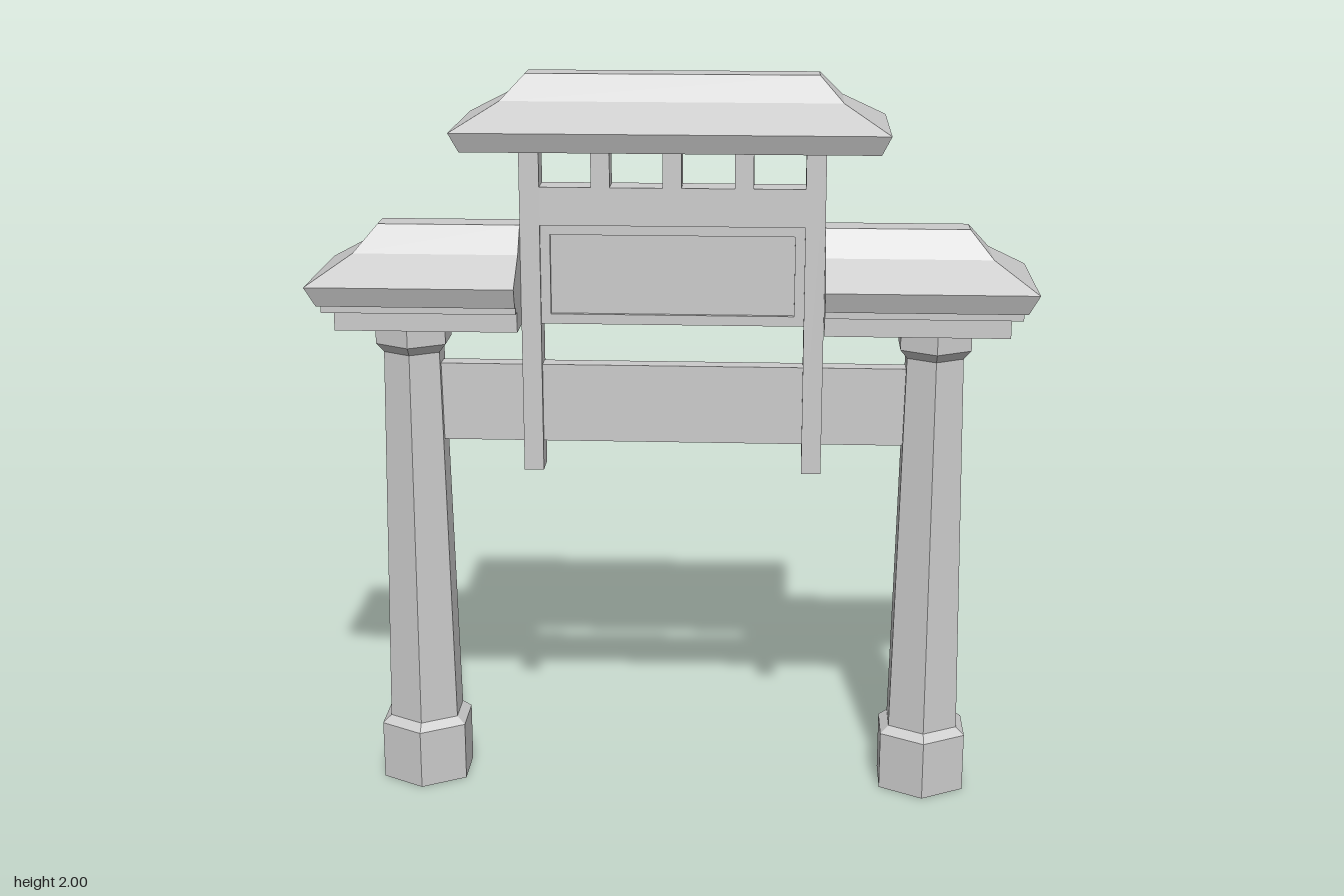
import * as THREE from 'three';

const material = new THREE.MeshStandardMaterial({ color: 0xcccccc, flatShading: true });

function add(parent, name, geometry) {
  const mesh = new THREE.Mesh(geometry, material);
  mesh.name = name;
  parent.add(mesh);
  return mesh;
}

// Box between x0..x1 and y0..y1, reaching z on both sides
function box(parent, name, x0, x1, y0, y1, z) {
  const g = new THREE.BoxGeometry(Math.abs(x1 - x0), y1 - y0, 2 * z);
  g.translate((x0 + x1) / 2, (y0 + y1) / 2, 0);
  return add(parent, name, g);
}

// Solid lofted through rectangular rings [y, xMin, xMax, z], bottom to top
function loft(parent, name, rings) {
  const corners = rings.map(([y, a, b, z]) => [[a, y, z], [b, y, z], [b, y, -z], [a, y, -z]]);
  const pos = [];
  const quad = (a, b, c, d) => pos.push(...a, ...b, ...c, ...a, ...c, ...d);
  for (let i = 0; i < corners.length - 1; i++) {
    const lo = corners[i], hi = corners[i + 1];
    for (let k = 0; k < 4; k++) {
      const n = (k + 1) % 4;
      quad(lo[k], lo[n], hi[n], hi[k]);
    }
  }
  const [b0, b1, b2, b3] = corners[0];
  quad(b3, b2, b1, b0);
  quad(...corners[corners.length - 1]);
  const g = new THREE.BufferGeometry();
  g.setAttribute('position', new THREE.Float32BufferAttribute(pos, 3));
  g.computeVertexNormals();
  return add(parent, name, g);
}

// Hexagonal section with a corner facing the front
function hex(parent, name, y0, y1, r0, r1, open = false) {
  const g = new THREE.CylinderGeometry(r1, r0, y1 - y0, 6, 1, open);
  g.translate(0, (y0 + y1) / 2, 0);
  return add(parent, name, g);
}

function buildColumn(side) {
  const column = new THREE.Group();
  column.name = side > 0 ? 'leftColumn' : 'rightColumn';
  hex(column, 'base', 0, 0.165, 0.135, 0.135);
  hex(column, 'baseBevel', 0.165, 0.185, 0.135, 0.109, true);
  hex(column, 'shaft', 0.185, 1.25, 0.109, 0.087);
  hex(column, 'capitalFlare', 1.25, 1.275, 0.087, 0.109, true);
  hex(column, 'capital', 1.275, 1.33, 0.109, 0.109);
  column.position.x = side * 0.705;
  return column;
}

// Side roof: hipped at the outer end, cut flat against the post
function buildSideRoof(side) {
  const inner = 0.405;
  const roof = new THREE.Group();
  roof.name = side > 0 ? 'leftSideRoof' : 'rightSideRoof';
  box(roof, 'lowerCornice', side * inner, side * 0.893, 1.33, 1.385, 0.135);
  box(roof, 'upperCornice', side * inner, side * 0.921, 1.385, 1.405, 0.165);
  const rings = [[1.405, 0.931, 0.178], [1.46, 0.957, 0.2], [1.53, 0.845, 0.093], [1.6, 0.785, 0.04]];
  loft(roof, 'roofTiles', rings.map(([y, x, z]) =>
    side > 0 ? [y, inner, x, z] : [y, -x, -inner, z]));
  return roof;
}

export function createModel() {
  const gate = new THREE.Group();
  gate.name = 'gate';

  for (const side of [-1, 1]) {
    gate.add(buildColumn(side), buildSideRoof(side));
    box(gate, side > 0 ? 'leftPost' : 'rightPost', side * 0.352, side * 0.405, 0.92, 1.815, 0.04);
  }

  // Lower beam between the columns
  box(gate, 'crossBeam', -0.66, 0.66, 1.0, 1.215, 0.025);

  // Framed sign panel, slightly sunk between the posts
  const frame = new THREE.Shape();
  frame.moveTo(-0.352, 1.33).lineTo(0.352, 1.33).lineTo(0.352, 1.6).lineTo(-0.352, 1.6).closePath();
  const hole = new THREE.Path();
  hole.moveTo(-0.326, 1.357).lineTo(-0.326, 1.573).lineTo(0.326, 1.573).lineTo(0.326, 1.357).closePath();
  frame.holes.push(hole);
  const frameGeometry = new THREE.ExtrudeGeometry(frame, { depth: 0.06, bevelEnabled: false });
  frameGeometry.translate(0, 0, -0.03);
  add(gate, 'panelFrame', frameGeometry);
  box(gate, 'panel', -0.326, 0.326, 1.357, 1.573, 0.018);

  // Upper board and short struts carrying the main roof
  box(gate, 'upperBoard', -0.352, 0.352, 1.6, 1.702, 0.04);
  for (const x of [-0.19, 0, 0.19]) {
    box(gate, 'roofStrut', x - 0.025, x + 0.025, 1.702, 1.815, 0.04);
  }

  // Main hipped roof
  const rings = [[1.815, 0.541, 0.178], [1.867, 0.565, 0.2], [1.935, 0.445, 0.093], [2.0, 0.383, 0.04]];
  loft(gate, 'mainRoof', rings.map(([y, x, z]) => [y, -x, x, z]));

  return gate;
}
